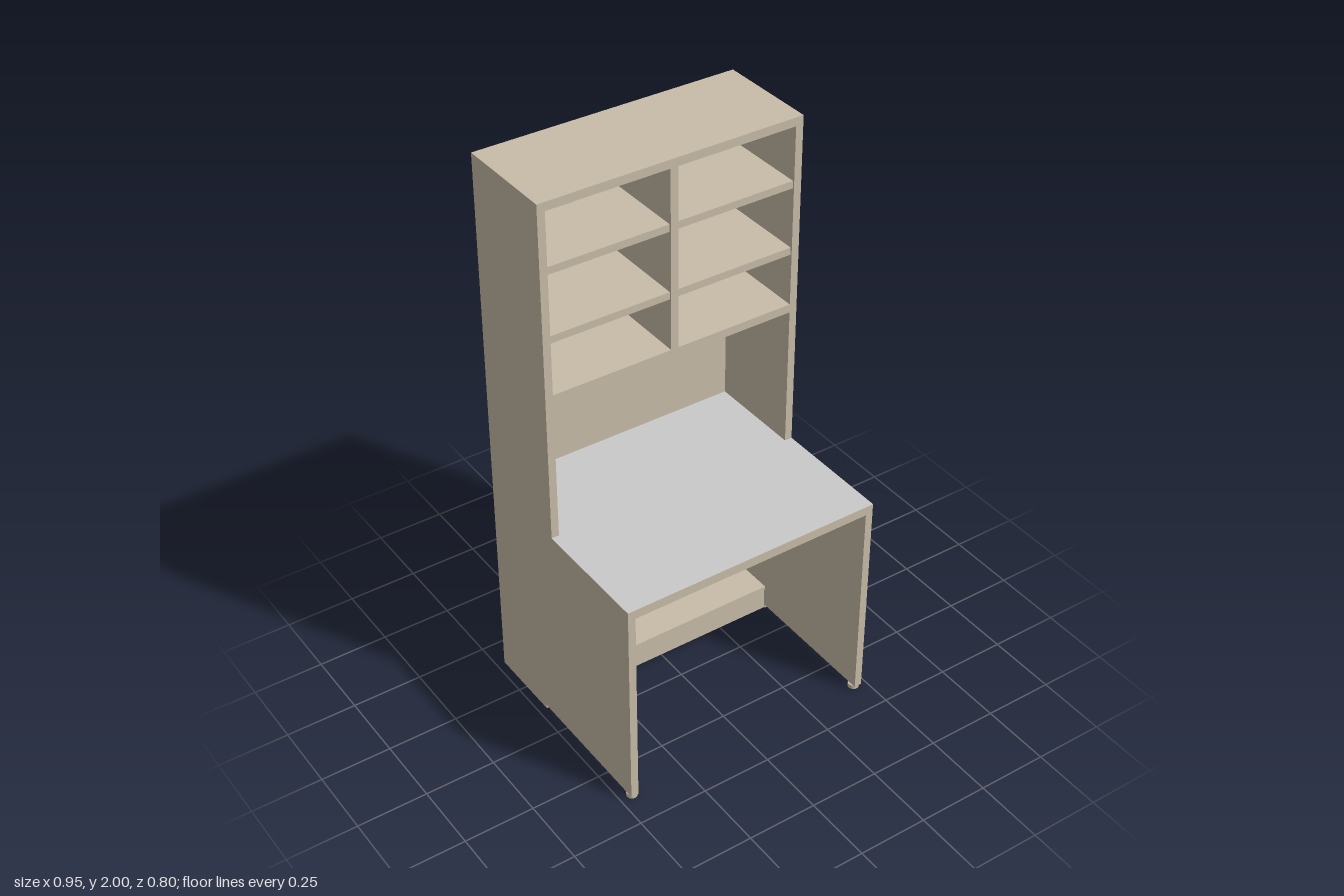
import * as THREE from 'three';

export function createModel() {
  const model = new THREE.Group();
  model.name = 'deskWithHutch';
  const wood = new THREE.MeshStandardMaterial({ color: 0xc8bca8 });
  wood.name = 'beige board';
  const grey = new THREE.MeshStandardMaterial({ color: 0xc9c9c9 });
  grey.name = 'grey worktop';

  const W = 0.47, IN = 0.443;          // outer and inner half widths
  const BACK = -0.4, FRONT = 0.4, HUTCH = -0.035, BASE = -0.12;
  const DESK = 0.795;

  function add(name, geometry, material = wood) {
    const mesh = new THREE.Mesh(geometry, material);
    mesh.name = name;
    model.add(mesh);
    return mesh;
  }

  // Box given by its limits on each axis
  function board(name, x0, x1, y0, y1, z0, z1) {
    add(name, new THREE.BoxGeometry(x1 - x0, y1 - y0, z1 - z0))
      .position.set((x0 + x1) / 2, (y0 + y1) / 2, (z0 + z1) / 2);
  }

  // Stepped side panels, cut away under the knee space
  const outline = new THREE.Shape([
    [BACK, 0], [BASE, 0], [BASE, 0.015], [FRONT, 0.015],
    [FRONT, DESK], [HUTCH, DESK], [HUTCH, 2], [BACK, 2],
  ].map(([z, y]) => new THREE.Vector2(-z, y)));
  for (const [name, x] of [['rightSide', -W], ['leftSide', IN]]) {
    const geo = new THREE.ExtrudeGeometry(outline, { depth: W - IN, bevelEnabled: false });
    geo.rotateY(Math.PI / 2);
    add(name, geo).position.x = x;
  }

  // Back panel, open below the desk
  board('backPanel', -IN, IN, 0.672, 2, BACK, BACK + 0.02);

  // Desk board with its grey surface
  board('deskBoard', -IN, IN, 0.762, DESK, BACK + 0.02, FRONT);
  function surface(name, halfWidth, z0, z1) {
    const geo = new THREE.PlaneGeometry(halfWidth * 2, z1 - z0).rotateX(-Math.PI / 2);
    add(name, geo, grey).position.set(0, DESK + 0.001, (z0 + z1) / 2);
  }
  surface('worktopFront', W, HUTCH, FRONT);
  surface('worktopRear', IN, BACK + 0.02, HUTCH);

  // Lower shelves and plinth
  board('plinth', -IN, IN, 0, 0.088, BACK, BASE - 0.004);
  board('bottomShelf', -IN, IN, 0.088, 0.1, BACK, BASE);
  board('middleShelf', -IN, IN, 0.482, 0.503, BACK, BASE);

  // Hutch: top, floor, divider and two rows of shelves
  board('hutchTop', -IN, IN, 1.97, 2, BACK + 0.02, HUTCH);
  board('hutchFloor', -IN, IN, 1.304, 1.334, BACK + 0.02, HUTCH);
  board('hutchDivider', -0.014, 0.014, 1.334, 1.97, BACK + 0.02, HUTCH);
  for (const y of [1.516, 1.754]) {
    for (const s of [-1, 1]) {
      const [a, b] = s < 0 ? [-IN, -0.014] : [0.014, IN];
      board('hutchShelf', a, b, y, y + 0.026, BACK + 0.02, HUTCH - 0.006);
    }
  }

  // Front feet
  for (const s of [-1, 1]) {
    add('foot', new THREE.CylinderGeometry(0.019, 0.019, 0.015, 24))
      .position.set(s * 0.454, 0.0075, 0.378);
  }
  return model;
}
